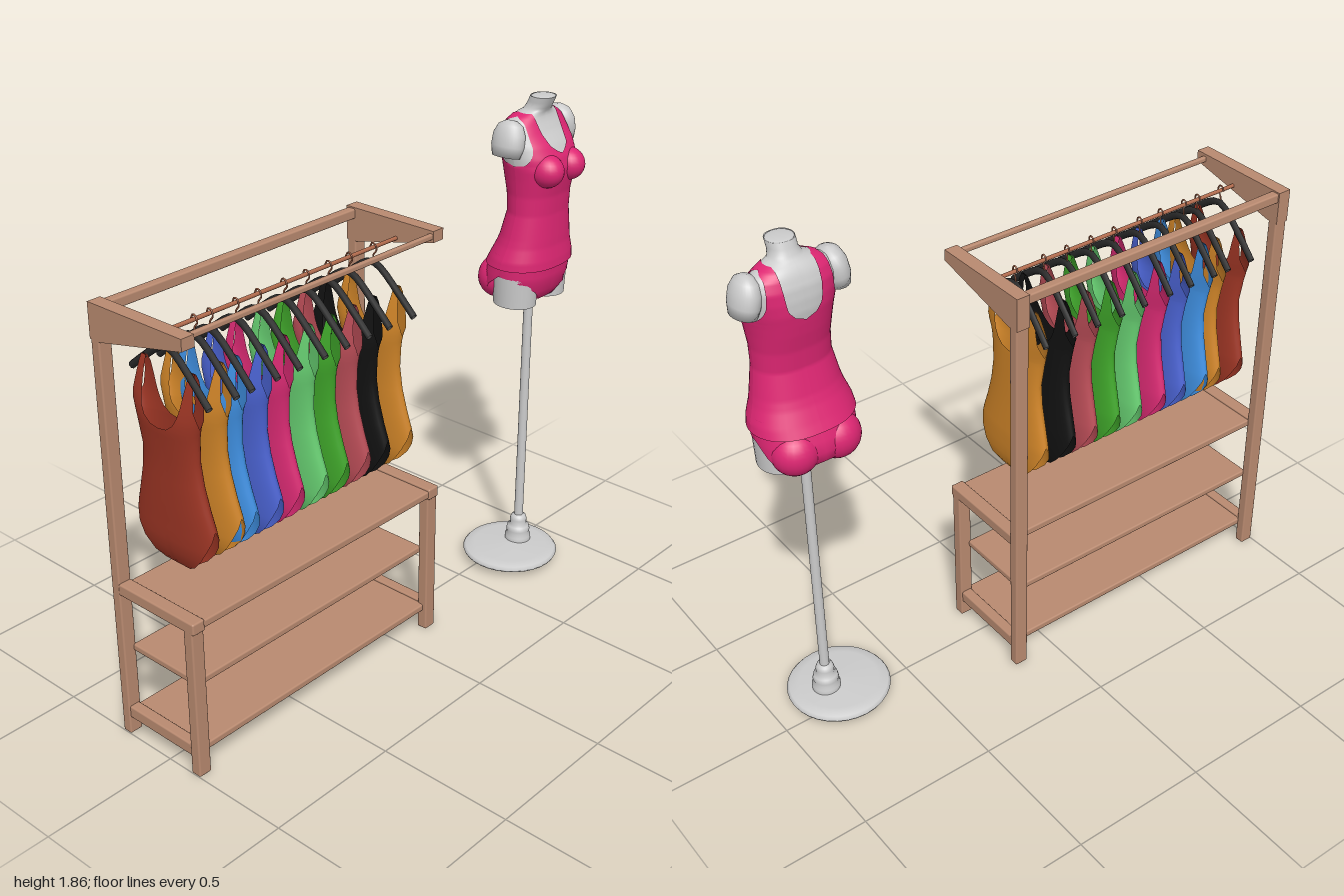
import * as THREE from 'three';
import { RoundedBoxGeometry } from 'three/addons/geometries/RoundedBoxGeometry.js';

const mat = (color) => new THREE.MeshStandardMaterial({ color, side: THREE.DoubleSide });
const WOOD = mat(0xb98a70), GREY = mat(0xcccccc), PINK = mat(0xdd2672);
const DARK = mat(0x2c2c2c), COPPER = mat(0xb06a4c);

function add(parent, name, geometry, material, x = 0, y = 0, z = 0) {
  const mesh = new THREE.Mesh(geometry, material);
  mesh.name = name;
  mesh.position.set(x, y, z);
  parent.add(mesh);
  return mesh;
}

// Box given by its limits on each axis
function slab(parent, name, x0, x1, y0, y1, z0, z1, r = 0.006) {
  return add(parent, name, new RoundedBoxGeometry(x1 - x0, y1 - y0, z1 - z0, 2, r), WOOD,
    (x0 + x1) / 2, (y0 + y1) / 2, (z0 + z1) / 2);
}

function tube(parent, name, points, radius, material, sides = 8) {
  const curve = new THREE.CatmullRomCurve3(points.map((p) => new THREE.Vector3(...p)));
  return add(parent, name, new THREE.TubeGeometry(curve, 14, radius, sides), material);
}

// Curved half shell. Each row: y, full half width, outer edge, inner edge, rim depth, centre depth
function panel(parent, name, rows, material) {
  const COLS = 12, pos = [], index = [];
  for (const side of [1, -1]) {
    const base = pos.length / 3;
    rows.forEach(([y, w, e, n, z0, z1], i) => {
      for (let j = 0; j <= COLS; j++) {
        const a = n + (e - n) * Math.sin((j / COLS) * Math.PI / 2);
        const bulge = Math.sqrt(Math.max(0, 1 - Math.pow(Math.min(1, a / w), 2.5)));
        pos.push(side * a, y, z0 + (z1 - z0) * bulge);
        if (i && j) {
          const d = base + i * (COLS + 1) + j, c = d - 1, b = d - COLS - 1, q = b - 1;
          if ((side > 0) === (z1 > z0)) index.push(q, b, c, b, d, c);
          else index.push(q, c, b, b, c, d);
        }
      }
    });
  }
  const g = new THREE.BufferGeometry();
  g.setAttribute('position', new THREE.Float32BufferAttribute(pos, 3));
  g.setIndex(index);
  g.computeVertexNormals();
  return add(parent, name, g, material);
}

// Smooth lookup in a table whose first column is the key
function sample(table, y) {
  let i = 0;
  while (i < table.length - 2 && y > table[i + 1][0]) i++;
  const a = table[i], b = table[i + 1];
  const t = THREE.MathUtils.clamp((y - a[0]) / (b[0] - a[0]), 0, 1);
  return a.slice(1).map((v, k) => THREE.MathUtils.lerp(v, b[k + 1], t));
}

function makeRack() {
  const g = new THREE.Group();
  g.name = 'clothesRack';
  for (const [x0, x1, front] of [[-1, -0.95, 0.175], [0.125, 0.175, 0.15]]) {
    slab(g, 'backPost', x0, x1, 0, 1.55, -0.232, -0.195);
    slab(g, 'frontPost', x0, x1, 0, 0.56, 0.105, 0.145);
    slab(g, 'topSideRail', x0, x1, 0.55, 0.592, -0.2, 0.152);
    slab(g, 'bottomSideRail', x0 + 0.005, x1 - 0.005, 0.065, 0.11, -0.2, 0.11);
    // Tapered arm carrying the hanging rod
    const s = new THREE.Shape([[0.235, 1.56], [-front, 1.56], [-front, 1.52], [0.19, 1.44], [0.235, 1.44]]
      .map((p) => new THREE.Vector2(...p)));
    const arm = add(g, 'topBracket', new THREE.ExtrudeGeometry(s, { depth: x1 - x0, bevelEnabled: false }), WOOD, x0);
    arm.rotation.y = Math.PI / 2;
  }
  slab(g, 'topShelf', -0.96, 0.135, 0.556, 0.584, -0.2, 0.148);
  slab(g, 'middleShelf', -0.96, 0.135, 0.317, 0.342, -0.2, 0.11);
  slab(g, 'bottomShelf', -0.96, 0.135, 0.076, 0.102, -0.2, 0.13);
  slab(g, 'backTopBeam', -0.96, 0.135, 1.52, 1.555, -0.23, -0.197);
  slab(g, 'frontTopBeam', -0.96, 0.135, 1.53, 1.55, 0.13, 0.148);
  const rod = add(g, 'hangingRod', new THREE.CylinderGeometry(0.007, 0.007, 1.1, 12), COPPER, -0.412, 1.497, -0.012);
  rod.rotation.z = Math.PI / 2;
  return g;
}

// y, full half width, outer edge, inner edge, half thickness, sideways drift
const SUIT = [
  [0.70, 0.185, 0.03, 0, 0.004, 0.006], [0.708, 0.185, 0.055, 0, 0.016, 0.006], [0.73, 0.185, 0.09, 0, 0.03, 0.005],
  [0.77, 0.185, 0.128, 0, 0.04, 0.002], [0.81, 0.185, 0.153, 0, 0.043, 0], [0.85, 0.178, 0.17, 0, 0.043, 0],
  [0.88, 0.171, 0.171, 0, 0.043, -0.001], [0.94, 0.153, 0.153, 0, 0.041, -0.004], [1.02, 0.132, 0.132, 0, 0.039, -0.006],
  [1.1, 0.122, 0.122, 0, 0.038, -0.008], [1.18, 0.13, 0.13, 0, 0.042, -0.013], [1.2, 0.134, 0.134, 0, 0.042, -0.014],
  [1.205, 0.135, 0.135, 0.035, 0.042, -0.014], [1.225, 0.14, 0.14, 0.062, 0.042, -0.014],
  [1.25, 0.15, 0.143, 0.076, 0.04, -0.012], [1.28, 0.165, 0.134, 0.084, 0.034, -0.009],
  [1.33, 0.17, 0.125, 0.09, 0.024, -0.004], [1.37, 0.17, 0.121, 0.094, 0.014, 0], [1.392, 0.17, 0.118, 0.096, 0.003, 0],
];

function makeHangingSuit(x, color) {
  const g = new THREE.Group();
  g.name = 'hangingSwimsuit';
  g.position.set(x, 0, -0.01);
  const suit = new THREE.Group();
  suit.name = 'swimsuit';
  suit.rotation.y = Math.PI / 2;
  const cloth = mat(color);
  for (const s of [1, -1])
    panel(suit, s > 0 ? 'frontPanel' : 'backPanel',
      SUIT.map(([y, w, e, n, d, c]) => [y, w, e, n, c, c + s * d]), cloth);
  const hanger = new THREE.Group();
  hanger.name = 'hanger';
  hanger.rotation.y = 1.43;
  const bar = tube(hanger, 'hangerArms', [[-0.205, 1.315, 0], [-0.14, 1.365, 0], [-0.04, 1.435, 0], [0, 1.447, 0],
    [0.04, 1.435, 0], [0.14, 1.365, 0], [0.205, 1.315, 0]], 0.013, DARK);
  bar.scale.z = 0.8;
  tube(hanger, 'hangerHook', [[0, 1.44, 0], [0, 1.472, 0], [-0.016, 1.492, 0], [-0.01, 1.51, 0],
    [0.006, 1.512, 0], [0.016, 1.497, 0]], 0.003, COPPER, 6);
  g.add(suit, hanger);
  return g;
}

// y, half width, front depth, back depth
const TORSO = [
  [1.22, 0.166, 0.165, -0.085], [1.28, 0.163, 0.168, -0.06], [1.36, 0.143, 0.166, -0.03], [1.45, 0.126, 0.162, -0.008],
  [1.52, 0.126, 0.166, -0.014], [1.58, 0.133, 0.178, -0.027], [1.62, 0.139, 0.182, -0.034], [1.66, 0.145, 0.172, -0.04],
  [1.7, 0.15, 0.15, -0.04], [1.74, 0.15, 0.12, -0.035], [1.775, 0.132, 0.1, -0.022], [1.797, 0.095, 0.092, -0.008],
  [1.81, 0.055, 0.097, 0.01], [1.83, 0.046, 0.108, 0.022], [1.86, 0.046, 0.122, 0.035],
];
// y, outer limit, front neckline, back neckline
const CUT = [
  [1.25, 1, 0, 0], [1.62, 1, 0, 0], [1.64, 0.14, 0, 0], [1.645, 0.137, 0, 0.03], [1.675, 0.122, 0, 0.055],
  [1.68, 0.12, 0.02, 0.056], [1.7, 0.115, 0.045, 0.06], [1.74, 0.112, 0.058, 0.064], [1.805, 0.105, 0.064, 0.066],
];

function makeMannequin() {
  const g = new THREE.Group();
  g.name = 'mannequin';
  g.position.x = 0.8;
  const lathe = (pts) => new THREE.LatheGeometry(pts.map((p) => new THREE.Vector2(...p)), 32);

  // Stand
  add(g, 'standBase', lathe([[0, 0.04], [0.16, 0.027], [0.18, 0.028], [0.184, 0.036], [0.175, 0.047], [0.14, 0.054], [0, 0.06]]), GREY, -0.05, 0, 0.054);
  add(g, 'standCollar', lathe([[0.05, 0.055], [0.05, 0.075], [0.042, 0.085], [0.046, 0.1], [0.042, 0.118], [0.03, 0.124],
    [0.033, 0.145], [0.028, 0.16], [0.017, 0.166]]), GREY, 0, 0, 0.054);
  add(g, 'standPole', new THREE.CylinderGeometry(0.017, 0.017, 1.1, 20), GREY, 0, 0.66, 0.054);

  // Body shell and leotard share the same sampled sections
  const ys = Array.from({ length: 65 }, (_, i) => 1.22 + i * 0.01);
  const wearYs = Array.from({ length: 76 }, (_, i) => 1.25 + i * 0.0074);
  for (const s of [1, -1]) {
    const end = s > 0 ? 'Front' : 'Back';
    panel(g, 'torso' + end, ys.map((y) => {
      const [w, f, b] = sample(TORSO, y), mid = (f + b) / 2;
      return [y, w, w, 0, mid, s > 0 ? f : b];
    }), GREY);
    panel(g, 'leotard' + end, wearYs.map((y) => {
      const [w, f, b] = sample(TORSO, y), [limit, nf, nb] = sample(CUT, y);
      const flare = 0.005 + 0.008 * Math.max(0, (1.33 - y) / 0.08);
      const W = w + flare, e = Math.min(W, limit);
      return [y, W, e, Math.min(e, s > 0 ? nf : nb), (f + b) / 2, s > 0 ? f + flare : b - flare];
    }), PINK);
  }
  const neckTop = add(g, 'neckCap', new THREE.SphereGeometry(1, 24, 8), GREY, 0, 1.858, 0.0785);
  neckTop.scale.set(0.045, 0.006, 0.043);

  // Briefs below the hem
  panel(g, 'briefsFront', [[1.3, 0.165, 0.165, 0, 0.05, 0.172], [1.22, 0.17, 0.17, 0, 0.04, 0.168], [1.2, 0.17, 0.145, 0, 0.04, 0.165],
    [1.16, 0.17, 0.085, 0, 0.04, 0.155], [1.12, 0.17, 0.042, 0, 0.04, 0.13], [1.1, 0.17, 0.028, 0, 0.03, 0.06]], PINK);
  panel(g, 'briefsBack', [[1.3, 0.165, 0.165, 0, 0.05, -0.055], [1.22, 0.17, 0.17, 0, 0.04, -0.088], [1.18, 0.172, 0.162, 0, 0.04, -0.095],
    [1.14, 0.172, 0.14, 0, 0.04, -0.085], [1.11, 0.172, 0.08, 0, 0.04, -0.05], [1.1, 0.172, 0.028, 0, 0.03, 0.06]], PINK);

  for (const s of [1, -1]) {
    const thigh = add(g, 'thigh', new THREE.CylinderGeometry(0.079, 0.073, 0.16, 28), GREY, s * 0.086, 1.18, 0.054);
    thigh.scale.z = 1.12;
    const ball = (name, m, x, y, z, rx, ry, rz) =>
      add(g, name, new THREE.SphereGeometry(1, 24, 16), m, s * x, y, z).scale.set(rx, ry, rz);
    ball('buttock', PINK, 0.075, 1.18, -0.03, 0.08, 0.08, 0.075);
    ball('bust', PINK, 0.062, 1.615, 0.15, 0.058, 0.06, 0.067);
    // Shoulder stump with a flat cut end
    const arm = add(g, 'armStump', lathe([[0, -0.07], [0.04, -0.068], [0.047, -0.03], [0.046, 0.01], [0.035, 0.042], [0.018, 0.056], [0, 0.06]]),
      GREY, s * 0.146, 1.735, 0.045);
    arm.scale.z = 1.35;
    arm.rotation.z = s * 0.2;
  }
  return g;
}

export function createModel() {
  const model = new THREE.Group();
  model.name = 'swimwearDisplay';
  model.add(makeRack(), makeMannequin());
  const xs = [-0.895, -0.785, -0.722, -0.615, -0.52, -0.408, -0.308, -0.205, -0.108, 0.01];
  const colors = [0x9c3524, 0xcf8428, 0x3f8fe0, 0x4a62d0, 0xd82a72, 0x66cc70, 0x3fa52a, 0xb84c56, 0x111111, 0xcf8428];
  xs.forEach((x, i) => model.add(makeHangingSuit(x, colors[i])));
  return model;
}
